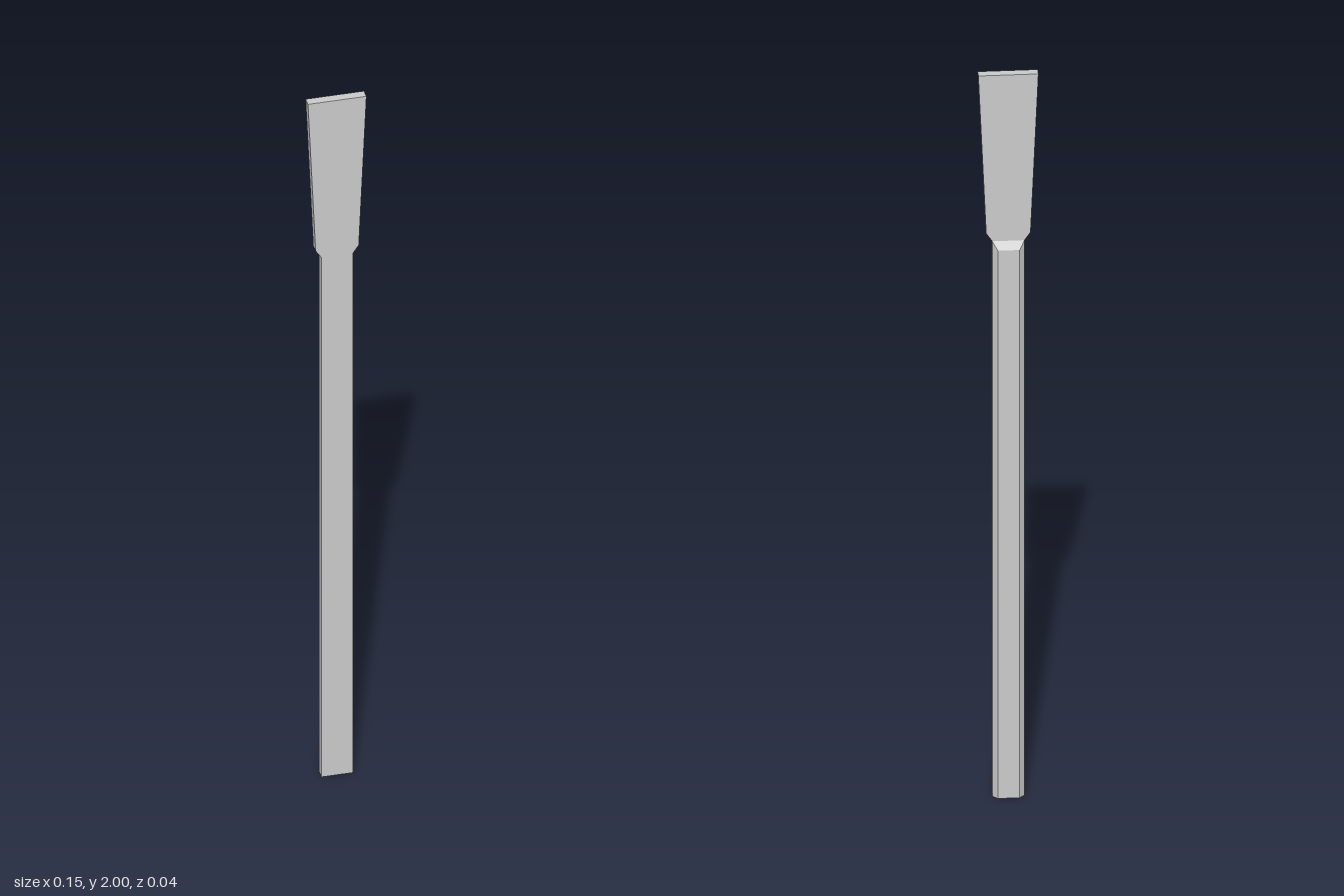
import * as THREE from 'three';

const FRONT = 0.0185, MID = -0.006, BACK = -0.0195; // z levels
const HALF = 0.04, RIDGE_HALF = 0.027;              // half widths of the shaft
const NECK = 1.54, RIDGE_TOP = 1.52;

function shapeOf(points) {
  return new THREE.Shape(points.map(([x, y]) => new THREE.Vector2(x, y)));
}

export function createModel() {
  const group = new THREE.Group();
  group.name = 'flaredBar';
  const material = new THREE.MeshStandardMaterial({ color: 0xcccccc, flatShading: true });

  // Flat plate: long shaft that steps out at the neck into a flared blade
  const right = [[HALF, 0], [HALF, NECK], [0.055, 1.562], [0.0745, 2]];
  const left = right.map(([x, y]) => [-x, y]).reverse();
  const plateGeometry = new THREE.ExtrudeGeometry(shapeOf([...right, ...left]), {
    depth: FRONT - MID, bevelEnabled: false,
  });
  plateGeometry.translate(0, 0, MID);
  const plate = new THREE.Mesh(plateGeometry, material);
  plate.name = 'shaftAndBlade';
  group.add(plate);

  // Bevelled ridge along the back of the shaft
  const section = shapeOf([[-HALF, -MID], [HALF, -MID], [RIDGE_HALF, -BACK], [-RIDGE_HALF, -BACK]]);
  const ridgeGeometry = new THREE.ExtrudeGeometry(section, { depth: NECK, bevelEnabled: false });
  ridgeGeometry.rotateX(-Math.PI / 2);

  // Lower the outer top edge so the ridge slopes into the blade
  const pos = ridgeGeometry.attributes.position;
  for (let i = 0; i < pos.count; i++) {
    if (pos.getY(i) > 1 && pos.getZ(i) < (MID + BACK) / 2) pos.setY(i, RIDGE_TOP);
  }
  ridgeGeometry.computeVertexNormals();
  const ridge = new THREE.Mesh(ridgeGeometry, material);
  ridge.name = 'backRidge';
  group.add(ridge);

  return group;
}
